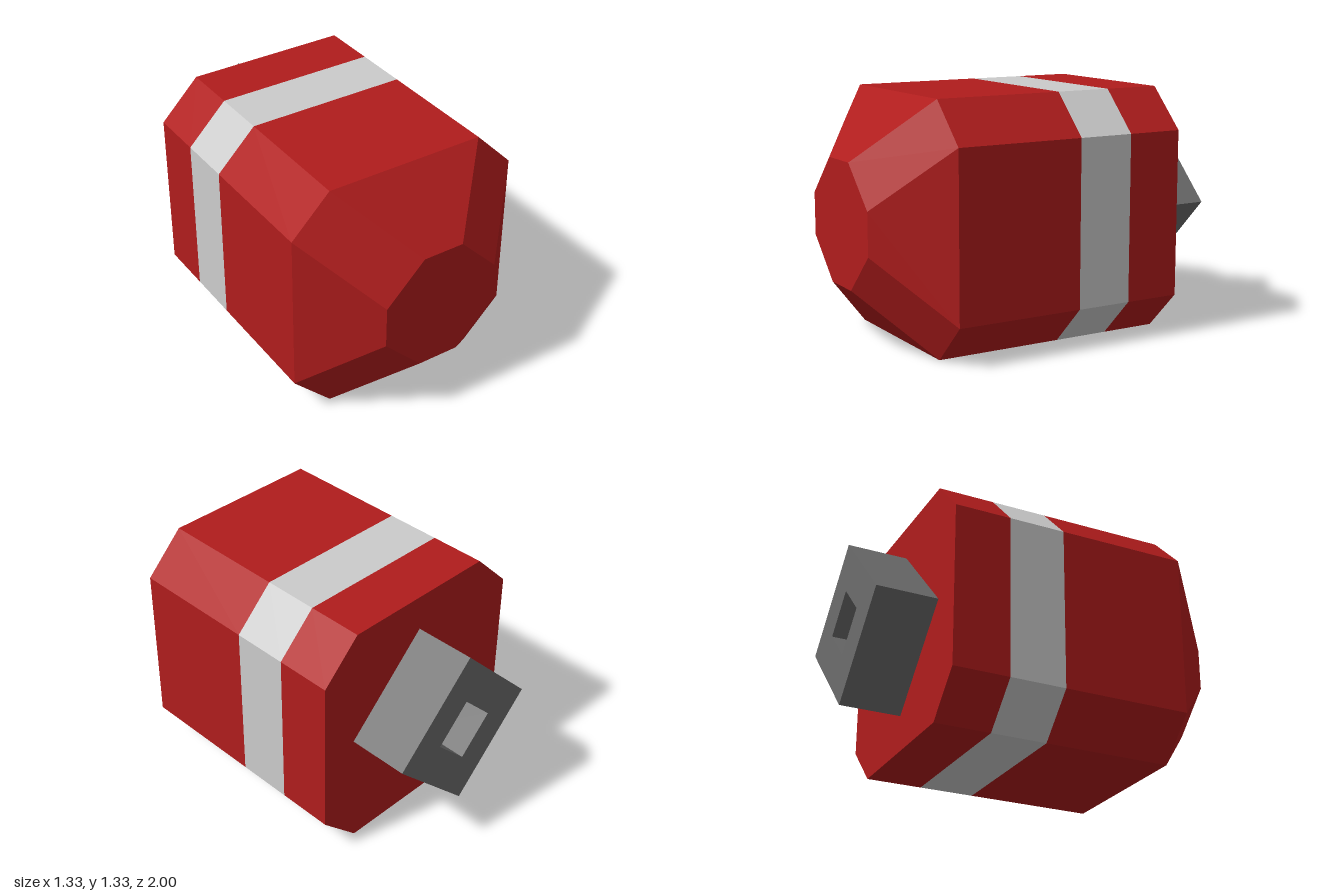
import * as THREE from 'three';

const CY = 0.667;   // height of the long axis
const CUT = 0.217;  // corner cut of the octagon

const paint = (color) => new THREE.MeshStandardMaterial({ color, flatShading: true });

// Square of half-width r with cut corners, counter-clockwise seen from +z
function octagon(r) {
  const f = r - CUT;
  return [[r, -f], [r, f], [f, r], [-f, r], [-r, f], [-r, -f], [-f, -r], [f, -r]];
}

// Octagonal band between a back ring and a front ring, with optional flat ends
function band(name, r0, z0, r1, z1, material, { back = false, front = false } = {}) {
  const A = octagon(r0).map(([x, y]) => [x, y + CY, z0]);
  const B = octagon(r1).map(([x, y]) => [x, y + CY, z1]);
  const pos = [];
  const tri = (...pts) => pts.forEach((p) => pos.push(...p));
  for (let i = 0; i < 8; i++) {
    const j = (i + 1) % 8;
    tri(A[i], A[j], B[j]);
    tri(A[i], B[j], B[i]);
    if (back) tri([0, CY, z0], A[j], A[i]);
    if (front) tri([0, CY, z1], B[i], B[j]);
  }
  const geo = new THREE.BufferGeometry();
  geo.setAttribute('position', new THREE.Float32BufferAttribute(pos, 3));
  geo.computeVertexNormals();
  const mesh = new THREE.Mesh(geo, material);
  mesh.name = name;
  return mesh;
}

// Square standing on its corner, given its half diagonal
function diamond(d, Type) {
  return new Type([[d, 0], [0, d], [-d, 0], [0, -d]].map(([x, y]) => new THREE.Vector2(x, y)));
}

export function createModel() {
  const group = new THREE.Group();
  const red = paint(0xb01c1c);
  const grey = paint(0xcccccc);
  const dark = paint(0x6c6c6c);

  // Body with a flush stripe and a tapered nose
  group.add(
    band('rearBody', 0.667, -0.665, 0.667, -0.355, red, { back: true }),
    band('stripe', 0.667, -0.355, 0.667, -0.045, grey),
    band('frontBody', 0.667, -0.045, 0.667, 0.667, red),
    band('nose', 0.667, 0.667, 0.333, 1, red, { front: true }),
  );

  // Hollow square socket on the back
  const shape = diamond(0.468, THREE.Shape);
  shape.holes.push(diamond(0.187, THREE.Path));
  const socket = new THREE.Mesh(
    new THREE.ExtrudeGeometry(shape, { depth: 0.335, bevelEnabled: false }), dark);
  socket.name = 'rearSocket';
  socket.position.set(-0.003, CY, -1);
  group.add(socket);

  return group;
}
